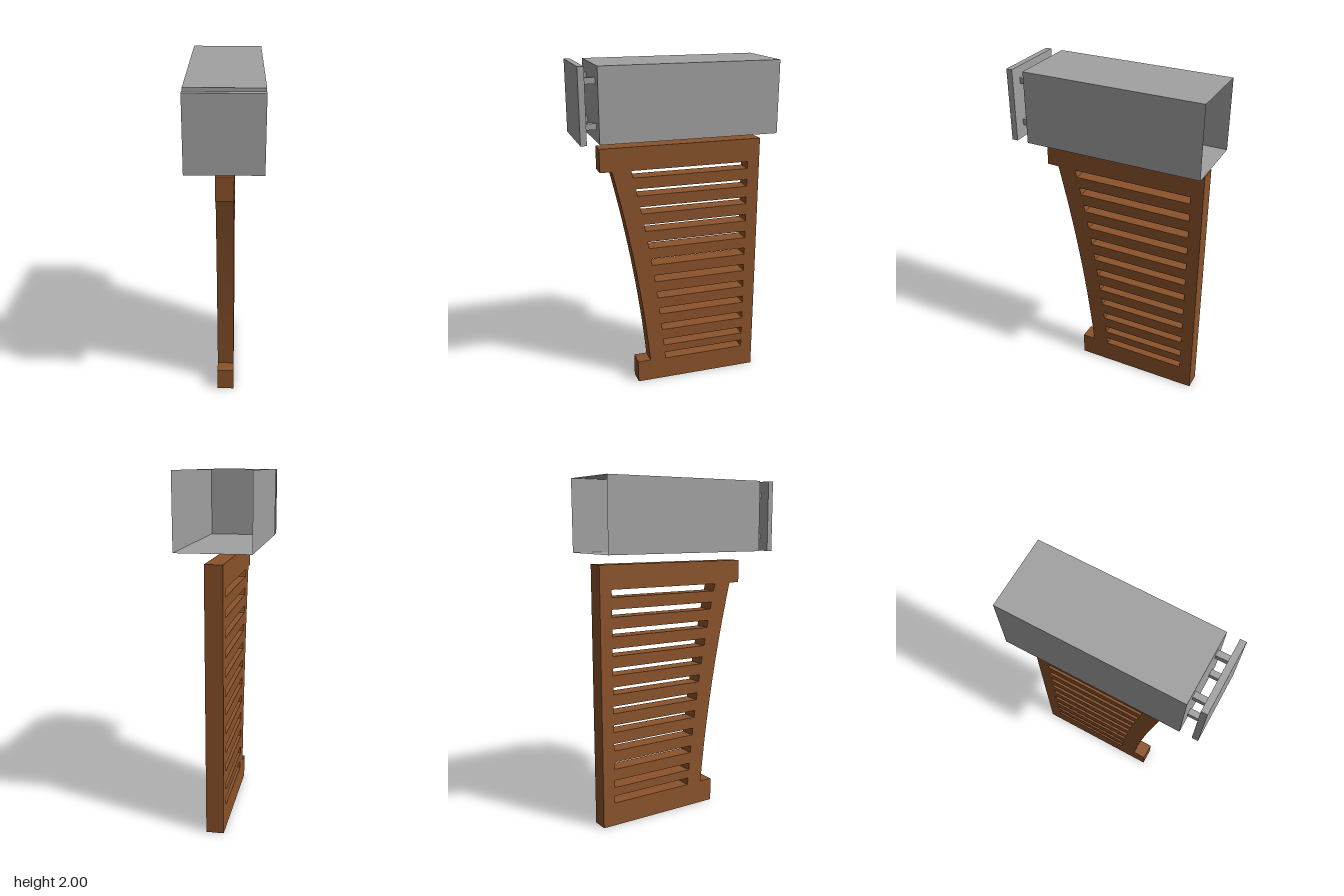
import * as THREE from 'three';

export function createModel() {
  const group = new THREE.Group();
  const wood = new THREE.MeshStandardMaterial({ color: 0x8b532b });
  wood.name = 'brownWood';
  const metal = new THREE.MeshStandardMaterial({ color: 0xa2a2a2, side: THREE.DoubleSide });
  metal.name = 'greyMetal';

  function add(name, geometry, material, x = 0, y = 0, z = 0) {
    const mesh = new THREE.Mesh(geometry, material);
    mesh.name = name;
    mesh.position.set(x, y, z);
    group.add(mesh);
    return mesh;
  }

  // Slatted stand: side profile drawn as (z, y), with a curved front post
  const footTop = 0.14, headBottom = 1.39;
  const rise = (y) => (y - footTop) / (headBottom - footTop);
  const outer = (y) => 0.155 + 0.12 * rise(y) + 0.095 * rise(y) ** 2;
  const inner = (y) => 0.055 + 0.11 * rise(y) + 0.092 * rise(y) ** 2;

  const profile = new THREE.Shape();
  profile.moveTo(-0.54, 0);
  profile.lineTo(0.235, 0);
  profile.lineTo(0.235, footTop);
  const steps = 16;
  for (let i = 0; i <= steps; i++) {
    const y = footTop + (headBottom - footTop) * i / steps;
    profile.lineTo(outer(y), y);
  }
  profile.lineTo(0.44, headBottom);
  profile.lineTo(0.44, 1.527);
  profile.lineTo(-0.54, 1.527);
  profile.closePath();

  // Twelve slots between the slats; the lowest rests on the foot
  for (let i = 0; i < 12; i++) {
    const bottom = i < 11 ? 1.345 - 0.1112 * i : 0.138;
    const top = bottom + 0.043;
    const slot = new THREE.Path();
    slot.moveTo(-0.465, bottom);
    slot.lineTo(-0.465, top);
    slot.lineTo(inner(top), top);
    slot.lineTo(inner(bottom), bottom);
    slot.closePath();
    profile.holes.push(slot);
  }
  const standGeometry = new THREE.ExtrudeGeometry(profile, { depth: 0.1, bevelEnabled: false });
  standGeometry.translate(0, 0, -0.05);
  standGeometry.rotateY(-Math.PI / 2);
  add('slattedStand', standGeometry, wood);

  // Thin-walled housing, open at the back (last box face left out)
  const housing = new THREE.BoxGeometry(0.414, 0.414, 1.037);
  housing.setIndex(Array.from(housing.index.array).slice(0, 30));
  housing.clearGroups();
  add('openHousing', housing, metal, 0, 1.793, -0.0515);

  // Front plate on four short pegs
  add('frontPlate', new THREE.BoxGeometry(0.41, 0.414, 0.035), metal, 0, 1.793, 0.5535);
  for (const x of [-0.12, 0.12]) {
    for (const y of [1.673, 1.917]) {
      add('platePeg', new THREE.BoxGeometry(0.034, 0.034, 0.072), metal, x, y, 0.501);
    }
  }
  return group;
}
